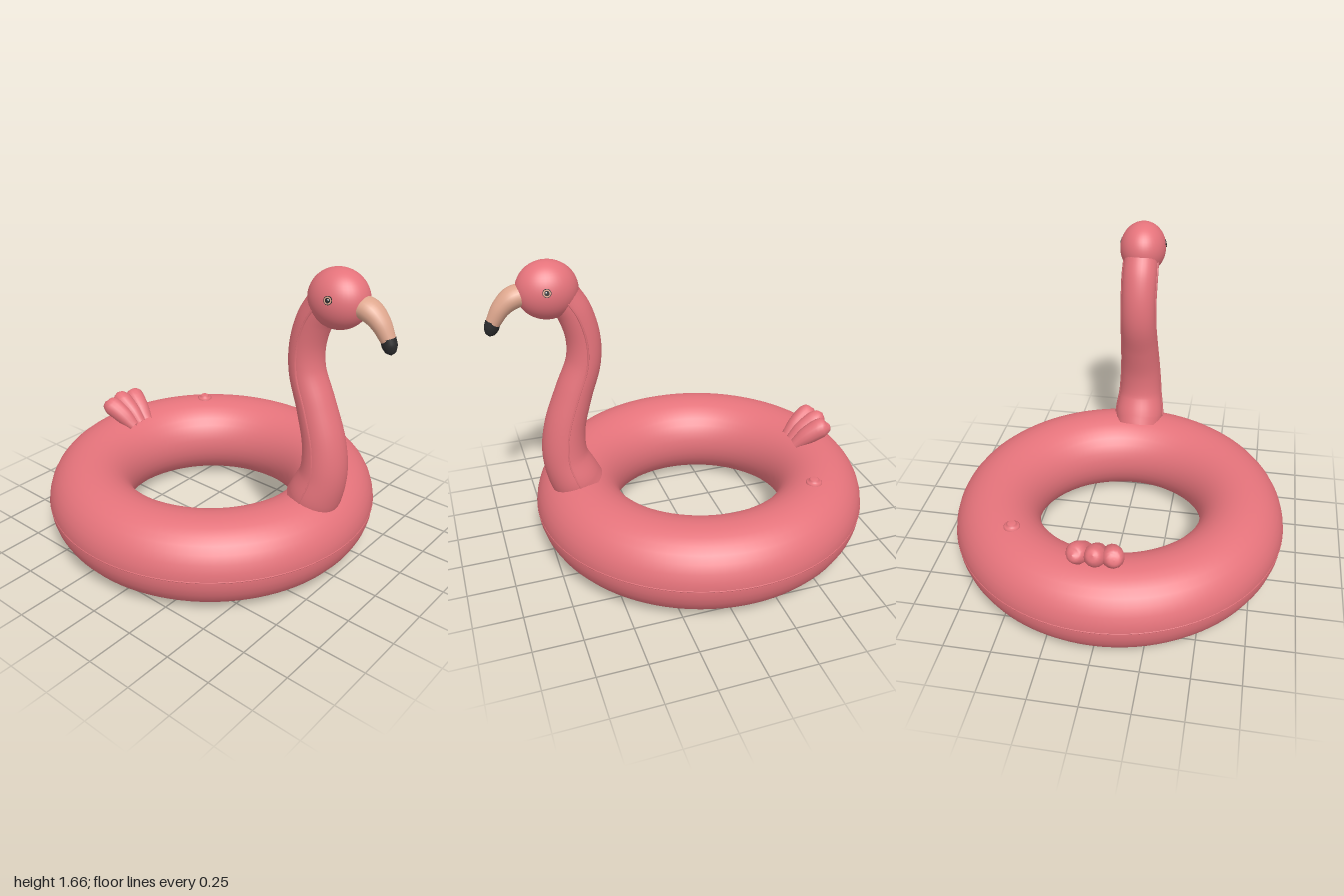
import * as THREE from 'three';

const mat = (name, color) => Object.assign(new THREE.MeshStandardMaterial({ color }), { name });

// Loft of elliptical sections along a path in the xy plane; rows are [x, y, in-plane radius, z radius]
function loft(rows, steps, sides) {
  const path = new THREE.CatmullRomCurve3(rows.map(r => new THREE.Vector3(r[0], r[1], 0)));
  const size = new THREE.CatmullRomCurve3(rows.map(r => new THREE.Vector3(r[2], r[3], 0)));
  const pos = [], idx = [];
  for (let i = 0; i <= steps; i++) {
    const t = i / steps, p = path.getPoint(t), s = size.getPoint(t), d = path.getTangent(t);
    for (let j = 0; j < sides; j++) {
      const a = j / sides * Math.PI * 2, c = Math.cos(a) * Math.max(s.x, 0);
      pos.push(p.x - d.y * c, p.y + d.x * c, Math.sin(a) * Math.max(s.y, 0));
      if (i < steps) {
        const k = (j + 1) % sides, A = i * sides + j, B = i * sides + k;
        idx.push(A, B, A + sides, B, B + sides, A + sides);
      }
    }
  }
  const g = new THREE.BufferGeometry();
  g.setAttribute('position', new THREE.Float32BufferAttribute(pos, 3));
  g.setIndex(idx);
  g.computeVertexNormals();
  return g;
}

export function createModel() {
  const group = new THREE.Group();
  const pink = mat('pink vinyl', 0xe5737b);
  const beige = mat('beige beak', 0xdea78e);
  const black = mat('black', 0x2a2a2c);
  const white = mat('white', 0xf4f4f4);
  const add = (name, geo, material, x = 0, y = 0, z = 0, parent = group) => {
    const m = new THREE.Mesh(geo, material);
    m.name = name;
    m.position.set(x, y, z);
    parent.add(m);
    return m;
  };

  // Swim ring with its welded seam
  const CX = -0.095, CY = 0.233;
  add('ring', new THREE.TorusGeometry(0.677, 0.23, 32, 96).rotateX(Math.PI / 2), pink, CX, CY);
  add('ringSeam', new THREE.TorusGeometry(0.905, 0.004, 6, 96).rotateX(Math.PI / 2), pink, CX, CY);

  // Curved neck, flared at the base
  const neck = [
    [0.585, 0.415, 0.136, 0.136], [0.61, 0.47, 0.135, 0.142], [0.65, 0.6, 0.118, 0.124],
    [0.642, 0.76, 0.107, 0.113], [0.585, 0.95, 0.096, 0.103], [0.525, 1.12, 0.088, 0.097],
    [0.52, 1.25, 0.086, 0.095], [0.555, 1.385, 0.087, 0.096], [0.605, 1.475, 0.086, 0.094],
  ];
  add('neck', loft(neck, 48, 32), pink);
  const base = add('neckBase', new THREE.CircleGeometry(0.136, 32).rotateX(Math.PI / 2), pink, 0.585, 0.415);
  base.rotation.z = -0.43;
  // Thin raised fin down both sides of the neck
  add('neckSeam', loft(neck.map(([x, y, , b]) => [x, y, 0.014, b + 0.007]), 48, 16), pink);

  // Head
  const head = add('head', new THREE.SphereGeometry(1, 40, 28), pink, 0.68, 1.515);
  head.scale.set(0.152, 0.145, 0.128);

  // Hooked beak and dark tip
  add('beak', loft([
    [0.76, 1.505, 0.054, 0.062], [0.84, 1.495, 0.055, 0.064],
    [0.9, 1.45, 0.046, 0.054], [0.949, 1.375, 0.035, 0.036],
  ], 20, 24), beige);
  add('beakTip', loft([
    [0.945, 1.386, 0.036, 0.037], [0.956, 1.355, 0.036, 0.035],
    [0.965, 1.325, 0.024, 0.024], [0.968, 1.31, 0, 0],
  ], 12, 24), black);

  // Eyes made of stacked thin discs
  for (const side of [1, -1]) {
    const eye = new THREE.Group();
    eye.name = side > 0 ? 'leftEye' : 'rightEye';
    eye.position.set(0.7, 1.54, side * 0.1245);
    eye.lookAt(0.7 + 0.087, 1.54 + 0.119, side * 0.76);
    const disc = (name, r, m, z, x = 0, y = 0) =>
      add(name, new THREE.CylinderGeometry(r, r, 0.004, 24).rotateX(Math.PI / 2), m, x, y, z, eye);
    disc('eyeRim', 0.021, black, 0);
    disc('iris', 0.018, beige, 0.001);
    disc('pupil', 0.012, black, 0.002);
    disc('highlight', 0.004, white, 0.003, side * 0.003, 0.004);
    group.add(eye);
  }

  // Fan of three plump tail feathers
  const tail = new THREE.Group();
  tail.name = 'tail';
  group.add(tail);
  for (const k of [-1, 0, 1]) {
    const feather = new THREE.Group();
    feather.name = 'tailFeather';
    feather.position.set(-0.67, 0.45, k * 0.055);
    feather.rotation.y = k * 0.26;
    tail.add(feather);
    const lobe = loft([
      [0.01, -0.01, 0.03, 0.035], [-0.06, 0.045, 0.052, 0.05],
      [-0.13, 0.09, 0.057, 0.056], [-0.17, 0.12 + (k ? -0.015 : 0.005), 0.036, 0.036],
      [-0.182, 0.13 + (k ? -0.015 : 0.005), 0, 0],
    ], 14, 14);
    add('featherLobe', lobe, pink, 0, 0, 0, feather);
  }

  // Inflation valve
  const valve = [[0.042, -0.01], [0.042, 0.004], [0.036, 0.008], [0.026, 0.009], [0.025, 0.019], [0.02, 0.023], [0, 0.023]];
  add('valve', new THREE.LatheGeometry(valve.map(p => new THREE.Vector2(...p)), 24), pink, -0.57, 0.462, -0.48);

  return group;
}
